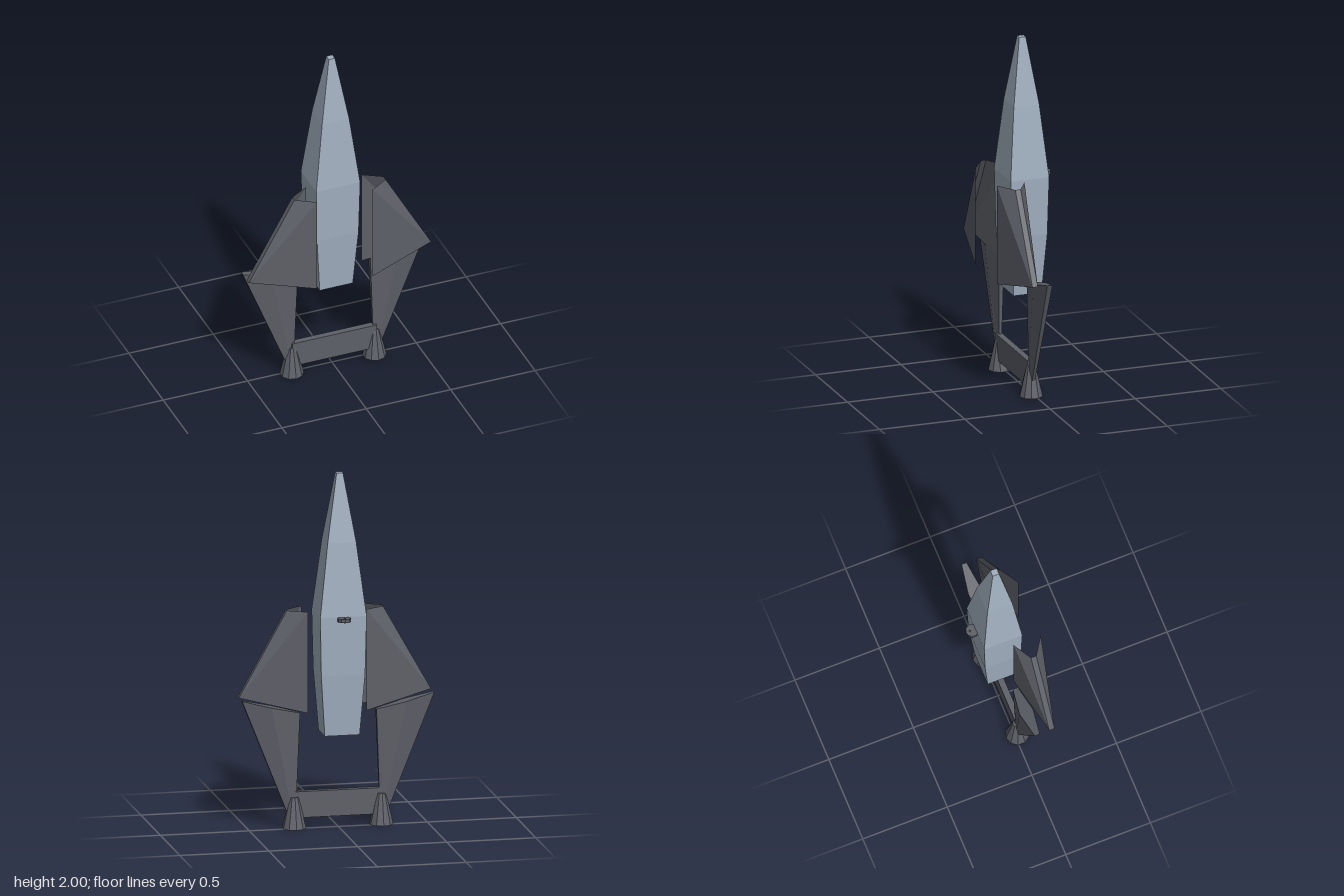
import * as THREE from 'three';

const hullMat = new THREE.MeshStandardMaterial({ color: 0xa0aebe, flatShading: true });
hullMat.name = 'paleSteel';
const darkMat = new THREE.MeshStandardMaterial({ color: 0x5e6068, flatShading: true, side: THREE.DoubleSide });
darkMat.name = 'darkGrey';

// Geometry from a list of triangles (each three [x, y, z] points)
function fromTriangles(tris) {
  const g = new THREE.BufferGeometry();
  g.setAttribute('position', new THREE.Float32BufferAttribute(tris.flat(2), 3));
  g.computeVertexNormals();
  return g;
}

// Capped loft through rings, bottom to top, each running clockwise seen from above
function loft(rings) {
  const n = rings[0].length, tris = [];
  for (let r = 0; r < rings.length - 1; r++) {
    for (let i = 0; i < n; i++) {
      const j = (i + 1) % n, lo = rings[r], hi = rings[r + 1];
      tris.push([lo[i], hi[i], hi[j]], [lo[i], hi[j], lo[j]]);
    }
  }
  const lo = rings[0], hi = rings[rings.length - 1];
  for (let i = 1; i < n - 1; i++) {
    tris.push([lo[0], lo[i], lo[i + 1]], [hi[0], hi[i + 1], hi[i]]);
  }
  return fromTriangles(tris);
}

function add(parent, name, geometry, material, x = 0, y = 0, z = 0) {
  const mesh = new THREE.Mesh(geometry, material);
  mesh.name = name;
  mesh.position.set(x, y, z);
  parent.add(mesh);
  return mesh;
}

// Lens-shaped slab ring: outer edge, thick middle, inner edge
function lensRing(s, outer, inner, z, edge, thick) {
  const mid = [(outer[0] + inner[0]) / 2, (outer[1] + inner[1]) / 2];
  const at = (p, dz) => [s * p[0], p[1], z + dz];
  const ring = [
    at(outer, -edge), at(outer, edge), at(mid, thick),
    at(inner, edge), at(inner, -edge), at(mid, -thick),
  ];
  return s > 0 ? ring : ring.reverse();
}

// Folded upper wing: narrow outer strip with two panels spreading inward
function upperWing(s) {
  const tris = [];
  const tri = (a, b, c) => tris.push(s > 0 ? [a, b, c] : [a, c, b]);
  const p = (x, y, z) => [s * x, y, z];
  const panel = (zStrip, zInner, front) => {
    const top = p(0.27, 1.21, zStrip), tip = p(0.54, 0.73, zStrip);
    const innerTop = p(0.165, 1.21, zInner), innerLow = p(0.165, 0.64, zInner);
    if (front) {
      tri(top, innerTop, tip);
      tri(tip, innerTop, innerLow);
    } else {
      tri(top, tip, innerTop);
      tri(tip, innerLow, innerTop);
    }
  };
  panel(0.118, 0.187, true);
  panel(0.087, 0.025, false);
  const a = p(0.27, 1.21, 0.118), b = p(0.54, 0.73, 0.118);
  const c = p(0.54, 0.73, 0.087), d = p(0.27, 1.21, 0.087);
  tri(a, b, c);
  tri(a, c, d);
  return fromTriangles(tris);
}

export function createModel() {
  const model = new THREE.Group();
  model.name = 'spacecraft';

  // Hull: square sections as [y, half width, back z, front z]
  const sections = [
    [0.535, 0.098, -0.1, 0.063], [0.88, 0.123, -0.125, 0.086],
    [1.21, 0.13, -0.133, 0.092], [1.62, 0.08, -0.094, 0.055], [2, 0.018, -0.038, 0],
  ];
  add(model, 'hull', loft(sections.map(([y, w, b, f]) =>
    [[w, y, b], [w, y, f], [-w, y, f], [-w, y, b]])), hullMat);

  // Wings and engine nozzles on both sides
  for (const s of [1, -1]) {
    const side = s > 0 ? 'left' : 'right';
    add(model, side + 'UpperWing', upperWing(s), darkMat);
    add(model, side + 'LowerWing', loft([
      lensRing(s, [0.29, 0.1], [0.235, 0.12], 0.018, 0.008, 0.014),
      lensRing(s, [0.54, 0.73], [0.215, 0.65], 0.016, 0.015, 0.04),
    ]), darkMat);
    add(model, side + 'Nozzle', new THREE.CylinderGeometry(0.026, 0.067, 0.175, 10),
      darkMat, s * 0.245, 0.0875, 0.016);
  }

  // Bar joining the nozzles
  add(model, 'crossbar', new THREE.BoxGeometry(0.5, 0.147, 0.036), darkMat, 0, 0.132, 0.022);

  // Small sensor dish with a spindle on the back of the hull
  add(model, 'rearSensorDisc', new THREE.CylinderGeometry(0.037, 0.037, 0.02, 10), darkMat, 0, 1.198, -0.152);
  const spindle = add(model, 'rearSensorSpindle', new THREE.OctahedronGeometry(0.02), darkMat, 0, 1.198, -0.166);
  spindle.scale.set(0.6, 1, 0.6);

  return model;
}
